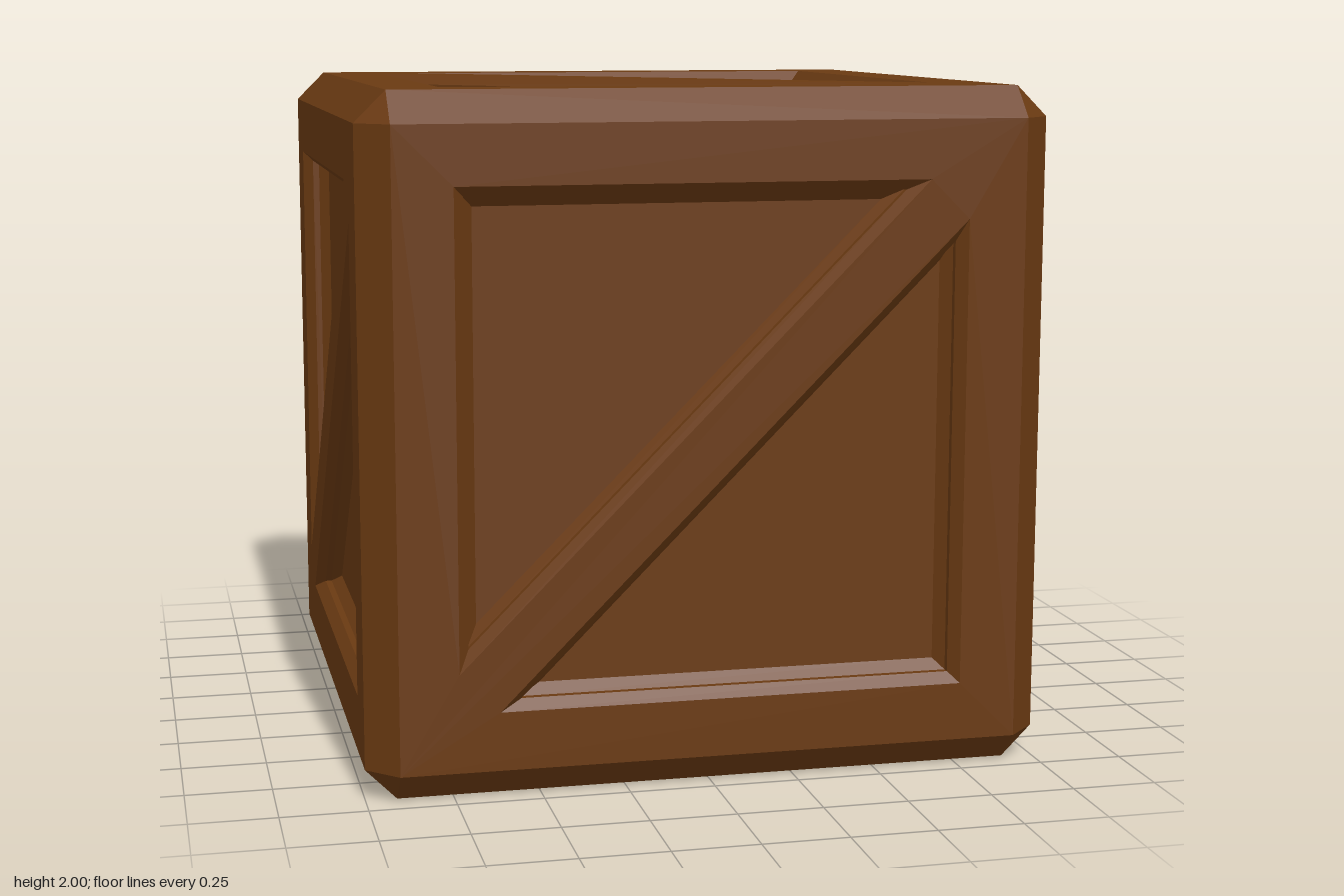
import * as THREE from 'three';

const HALF = 1;       // half the crate's side
const FLAT = 0.91;    // half the flat part of a side, inside the chamfer

// Recess profile: [outer corner, diagonal tip, height] from rim to floor
const PROFILE = [
  [0.74, 0.625, HALF],
  [0.71, 0.56, HALF - 0.03],
  [0.71, 0.56, HALF - 0.05],
  [0.68, 0.5, HALF - 0.08],
];

const wood = new THREE.MeshStandardMaterial({ color: 0x6a3a12, flatShading: true });

function meshFrom(points, name) {
  const geometry = new THREE.BufferGeometry().setFromPoints(points);
  geometry.computeVertexNormals();
  const mesh = new THREE.Mesh(geometry, wood);
  mesh.name = name;
  return mesh;
}

// Counter-clockwise triangle of the recess; sign -1 gives the opposite one
function triangle([corner, tip, z], sign) {
  return [[-corner, corner], [-corner, -tip], [tip, corner]]
    .map(([x, y]) => new THREE.Vector3(x * sign, y * sign, z));
}

// Stepped moulding running down to a sunken triangular panel
function recess(sign) {
  const loops = PROFILE.map((level) => triangle(level, sign));
  const points = [];
  for (let k = 0; k < loops.length - 1; k++) {
    for (let i = 0; i < 3; i++) {
      const j = (i + 1) % 3;
      const [a, b, c, d] = [loops[k][i], loops[k][j], loops[k + 1][j], loops[k + 1][i]];
      points.push(a, b, c, a, c, d);
    }
  }
  const group = new THREE.Group();
  group.name = sign > 0 ? 'upperPanel' : 'lowerPanel';
  group.add(meshFrom(points, 'moulding'), meshFrom(loops[loops.length - 1], 'sunkenBoard'));
  return group;
}

// One side of the crate: border and diagonal brace around two recesses
function crateSide(name, rx, ry, rz) {
  const side = new THREE.Group();
  side.name = name;
  const outline = new THREE.Shape([[-1, -1], [1, -1], [1, 1], [-1, 1]]
    .map(([x, y]) => new THREE.Vector2(x * FLAT, y * FLAT)));
  for (const sign of [1, -1]) {
    const rim = triangle(PROFILE[0], sign).map((p) => new THREE.Vector2(p.x, p.y));
    outline.holes.push(new THREE.Path(rim.reverse()));
    side.add(recess(sign));
  }
  const frame = new THREE.Mesh(new THREE.ShapeGeometry(outline), wood);
  frame.name = 'frameAndBrace';
  frame.position.z = HALF;
  side.add(frame);
  side.rotation.set(rx, ry, rz);
  return side;
}

// Adds a triangle wound so that it faces away from the crate's centre
function pushOutward(points, a, b, c) {
  const normal = b.clone().sub(a).cross(c.clone().sub(a));
  if (normal.dot(a) > 0) points.push(a, b, c);
  else points.push(a, c, b);
}

// Chamfers along the twelve edges
function edgeChamfers() {
  const points = [];
  for (let axis = 0; axis < 3; axis++) {
    for (const s of [-1, 1]) {
      for (const t of [-1, 1]) {
        const at = (along, u, v) => {
          const p = new THREE.Vector3();
          p.setComponent(axis, along);
          p.setComponent((axis + 1) % 3, u * s);
          p.setComponent((axis + 2) % 3, v * t);
          return p;
        };
        const a = at(-FLAT, HALF, FLAT), b = at(FLAT, HALF, FLAT);
        const c = at(FLAT, FLAT, HALF), d = at(-FLAT, FLAT, HALF);
        pushOutward(points, a, b, c);
        pushOutward(points, a, c, d);
      }
    }
  }
  return meshFrom(points, 'edgeChamfers');
}

// Small triangles closing the eight corners
function cornerChamfers() {
  const points = [];
  for (const x of [-1, 1]) for (const y of [-1, 1]) for (const z of [-1, 1]) {
    pushOutward(points,
      new THREE.Vector3(x * HALF, y * FLAT, z * FLAT),
      new THREE.Vector3(x * FLAT, y * HALF, z * FLAT),
      new THREE.Vector3(x * FLAT, y * FLAT, z * HALF));
  }
  return meshFrom(points, 'cornerChamfers');
}

export function createModel() {
  const crate = new THREE.Group();
  crate.name = 'crate';
  const quarter = Math.PI / 2;

  // Four walls, each turned a quarter from the last
  ['frontSide', 'leftSide', 'backSide', 'rightSide'].forEach((name, i) => {
    crate.add(crateSide(name, 0, i * quarter, 0));
  });

  // Lid and base, with the brace along the other diagonal
  crate.add(crateSide('lid', -quarter, 0, quarter));
  crate.add(crateSide('base', quarter, 0, quarter));

  crate.add(edgeChamfers(), cornerChamfers());
  crate.position.y = HALF;

  const model = new THREE.Group();
  model.name = 'woodenCrate';
  model.add(crate);
  return model;
}
